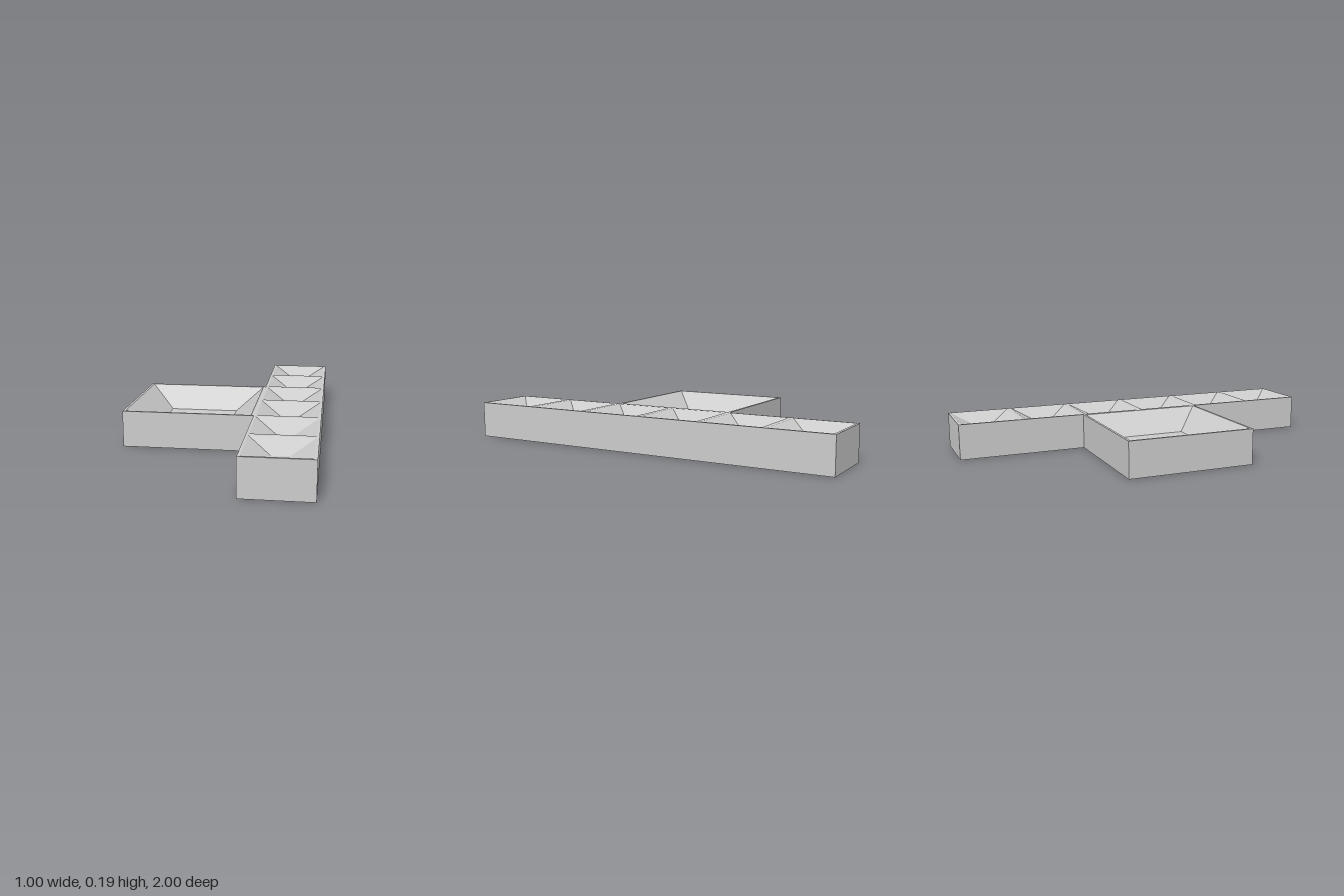
import * as THREE from 'three';

const HEIGHT = 0.185;
const UNIT = 1 / 3; // side of one small cell; the big tray is two units square

export function createModel() {
  const group = new THREE.Group();
  const material = new THREE.MeshStandardMaterial({
    color: 0xcccccc, flatShading: true, side: THREE.DoubleSide,
  });

  // Four-sided shell: profile is a list of [half width, height]
  const squareShell = (name, profile) => {
    const points = profile.map(([half, y]) => new THREE.Vector2(half * Math.SQRT2, y));
    const geometry = new THREE.LatheGeometry(points, 4, Math.PI / 4).toNonIndexed();
    geometry.computeVertexNormals();
    const mesh = new THREE.Mesh(geometry, material);
    mesh.name = name;
    group.add(mesh);
    return mesh;
  };

  // Flat rim, sloping sides and flat floor of a sunken pan
  const pan = (outer, opening, floor, depth) => [
    [outer, HEIGHT], [opening, HEIGHT], [floor, HEIGHT - depth], [0, HEIGHT - depth],
  ];

  // Big square tray, open underneath
  const tray = squareShell('largeTray', [[UNIT, 0], ...pan(UNIT, 0.321, 0.182, 0.11)]);
  tray.position.x = -UNIT / 2;

  // Outer walls of the long strip, open underneath
  const walls = squareShell('stripWalls', [[UNIT / 2, 0], [UNIT / 2, HEIGHT]]);
  walls.position.x = UNIT;
  walls.scale.z = 6;

  // Row of six small pans along the strip
  for (let i = 0; i < 6; i++) {
    const cell = squareShell('smallPan' + (i + 1), pan(UNIT / 2, 0.154, 0.043, 0.057));
    cell.position.set(UNIT, 0, (i - 2.5) * UNIT);
  }

  return group;
}
